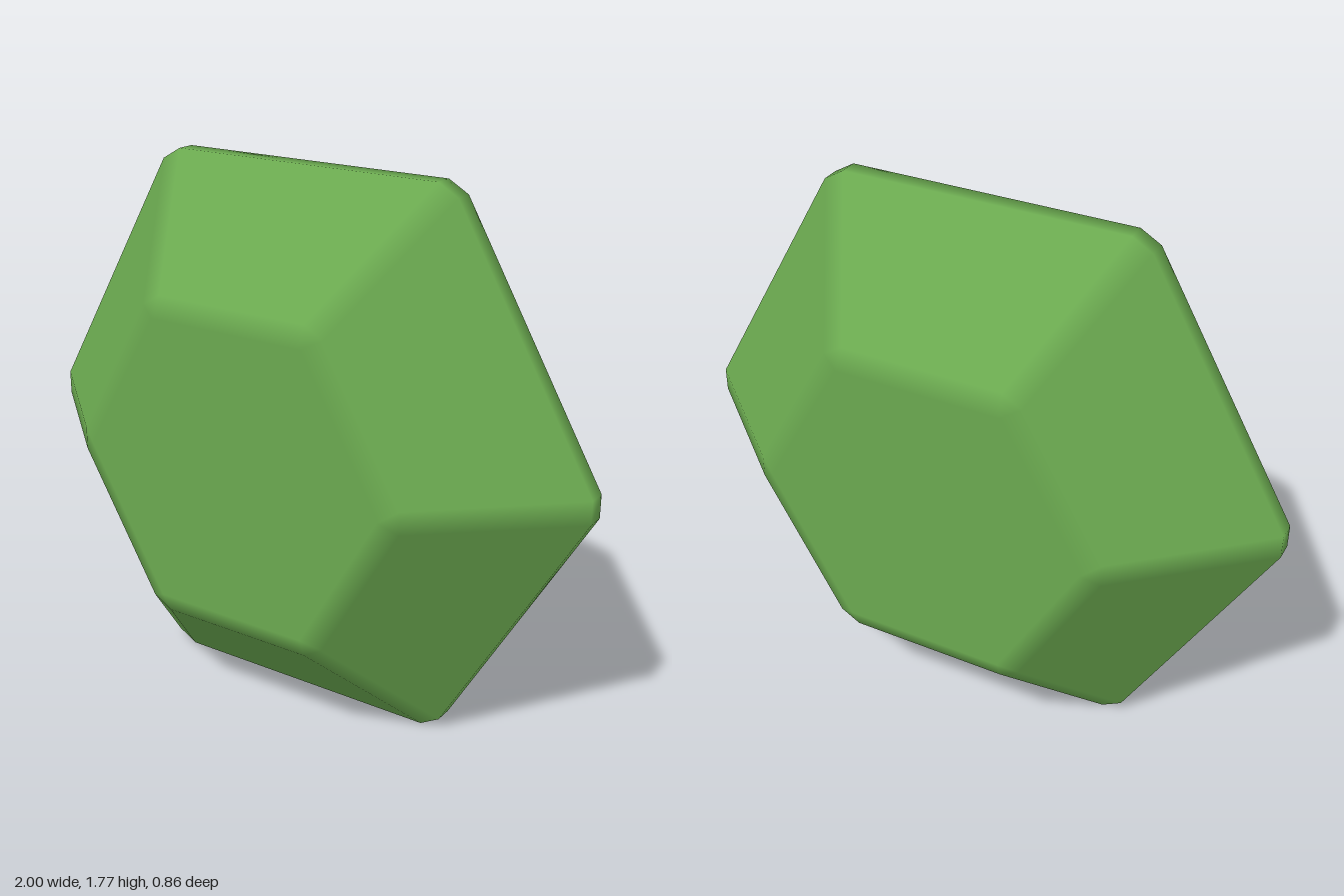
import * as THREE from 'three';

const CENTRE_Y = 0.885;
// Bevelled profile: apothem, half edge length and depth of each ring
const TABLE = { radius: 0.53, z: 0.43 };
const INNER = { apothem: 0.525, half: 0.261, z: 0.4 };
const RIM = { apothem: 0.885, half: 0.467, z: 0.03 };

function gemGeometry() {
  const positions = [], normals = [], index = [];
  const slope = new THREE.Vector2(INNER.z - RIM.z, RIM.apothem - INNER.apothem).normalize();

  // Each half has 6 table corners, 12 inner ring points and 12 rim points;
  // each point takes the normal of its large facet so only the bevels blend
  for (const side of [1, -1]) {
    for (let k = 0; k < 6; k++) {
      const a = k * Math.PI / 3;
      positions.push(TABLE.radius * Math.cos(a), TABLE.radius * Math.sin(a), side * TABLE.z);
      normals.push(0, 0, side);
    }
    for (const ring of [INNER, RIM]) {
      for (let k = 0; k < 6; k++) {
        const a = (k + 0.5) * Math.PI / 3, c = Math.cos(a), s = Math.sin(a);
        for (const t of [-ring.half, ring.half]) {
          positions.push(ring.apothem * c - t * s, ring.apothem * s + t * c, side * ring.z);
          normals.push(slope.x * c, slope.x * s, side * slope.y);
        }
      }
    }
  }

  const face = (corners, flip = false) => {
    const p = flip ? [...corners].reverse() : corners;
    for (let i = 1; i < p.length - 1; i++) index.push(p[0], p[i], p[i + 1]);
  };
  const table = (k, h) => 30 * h + k % 6;
  const inner = (k, end, h) => 30 * h + 6 + 2 * (k % 6) + end;
  const rim = (k, end, h) => 30 * h + 18 + 2 * (k % 6) + end;

  // Front and back: table, sloping facets and their bevels
  for (const h of [0, 1]) {
    const flip = h === 1;
    face([0, 1, 2, 3, 4, 5].map((k) => table(k, h)), flip);
    for (let k = 0; k < 6; k++) {
      const p = k + 5; // previous facet
      face([inner(k, 0, h), rim(k, 0, h), rim(k, 1, h), inner(k, 1, h)], flip);
      face([table(k, h), inner(k, 0, h), inner(k, 1, h), table(k + 1, h)], flip);
      face([table(k, h), inner(p, 1, h), inner(k, 0, h)], flip);
      face([inner(p, 1, h), rim(p, 1, h), rim(k, 0, h), inner(k, 0, h)], flip);
    }
  }

  // Narrow outer rim joining both halves
  for (let k = 0; k < 6; k++) {
    const p = k + 5;
    face([rim(k, 0, 0), rim(k, 0, 1), rim(k, 1, 1), rim(k, 1, 0)]);
    face([rim(p, 1, 0), rim(p, 1, 1), rim(k, 0, 1), rim(k, 0, 0)]);
  }

  const geometry = new THREE.BufferGeometry();
  geometry.setAttribute('position', new THREE.Float32BufferAttribute(positions, 3));
  geometry.setAttribute('normal', new THREE.Float32BufferAttribute(normals, 3));
  geometry.setIndex(index);
  return geometry;
}

export function createModel() {
  const green = new THREE.MeshStandardMaterial({ color: 0x6aa84f });
  green.name = 'gem green';

  const gem = new THREE.Mesh(gemGeometry(), green);
  gem.name = 'gem';
  gem.position.y = CENTRE_Y;

  const group = new THREE.Group();
  group.name = 'hexagonalGem';
  group.add(gem);
  return group;
}
